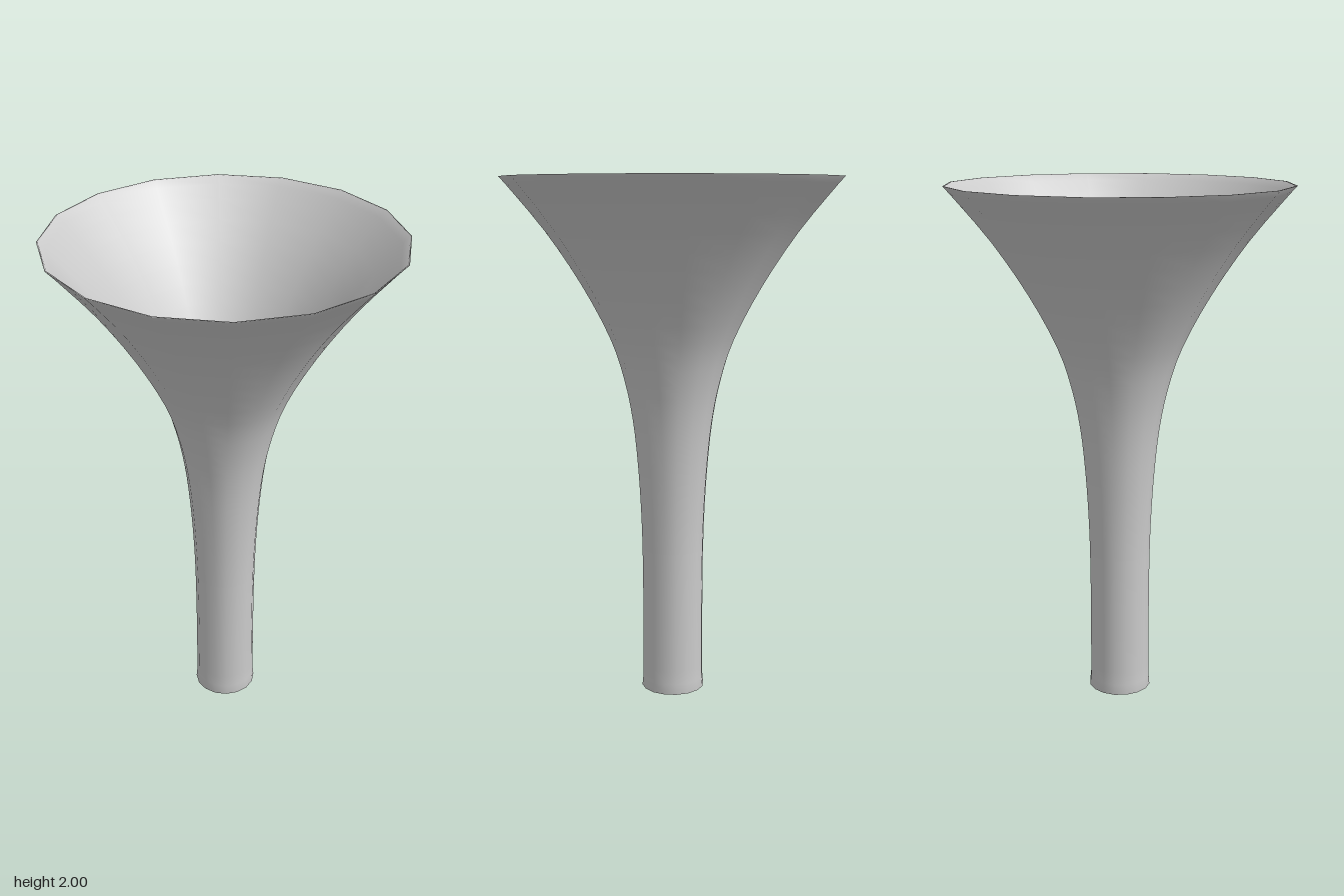
import * as THREE from 'three';

const SIDES = 16;
const WALL = 0.006;

export function createModel() {
  const group = new THREE.Group();
  group.name = 'flaredHorn';

  // Outer radius and height, from the mouthpiece end up to the wide bell
  const curve = new THREE.SplineCurve([
    [0.119, 0.04], [0.118, 0.25], [0.119, 0.5], [0.124, 0.7], [0.136, 0.9], [0.155, 1.08],
    [0.187, 1.24], [0.24, 1.4], [0.345, 1.6], [0.478, 1.8], [0.622, 1.975],
  ].map(([r, y]) => new THREE.Vector2(r, y)));
  const wall = curve.getPoints(30);

  // Closed thin-wall section: up the outside, over the rim, down the inside
  const outer = [new THREE.Vector2(0.123, 0), ...wall, new THREE.Vector2(0.645, 2)];
  const inner = outer.map((p) => new THREE.Vector2(p.x - WALL, p.y)).reverse();
  const profile = [...outer, ...inner];

  // Start the loop partway up the tube so both rims get blended normals
  const start = 8;
  const loop = [...profile.slice(start), ...profile.slice(0, start + 1)];

  const horn = new THREE.Mesh(
    new THREE.LatheGeometry(loop, SIDES),
    new THREE.MeshStandardMaterial({ color: 0xcccccc }),
  );
  horn.name = 'hornBell';
  group.add(horn);
  return group;
}
